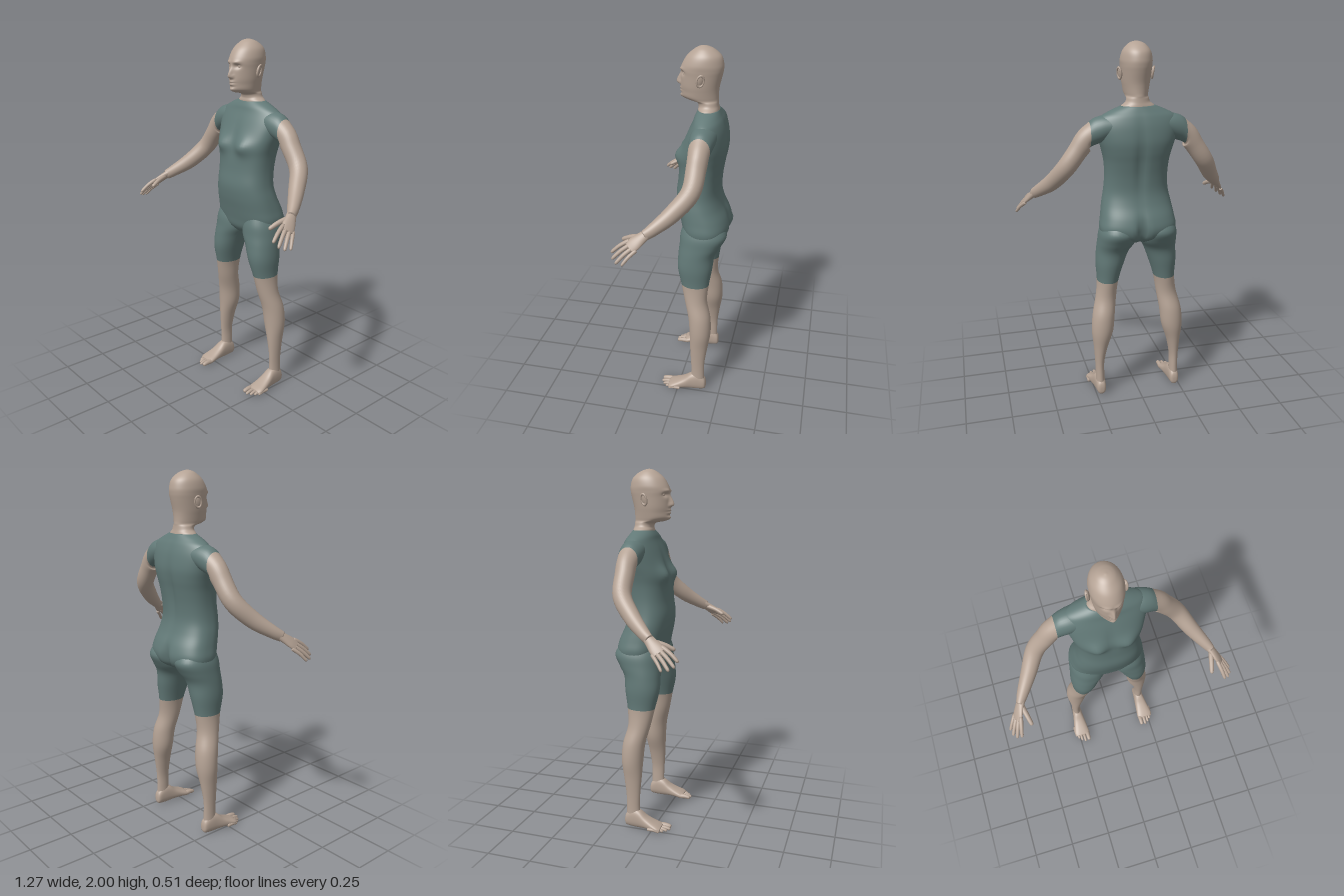
import * as THREE from 'three';

const V = (x, y, z) => new THREE.Vector3(x, y, z);
const bell = (...d) => Math.exp(-d.reduce((s, v) => s + v * v, 0));
const power = (c, e) => Math.sign(c) * Math.abs(c) ** e;

// Smoothly interpolate rows of numbers, `steps` rows per key
function smoothRows(keys, steps) {
  const rows = [], last = keys.length - 1;
  for (let i = 0; i <= last * steps; i++) {
    const k = Math.min(Math.floor(i / steps), last - 1), t = i / steps - k;
    const [a, b, c, d] = [k - 1, k, k + 1, k + 2].map(n => keys[Math.max(0, Math.min(last, n))]);
    rows.push(b.map((_, n) => b[n] + 0.5 * t * (c[n] - a[n] + t * (2 * a[n] - 5 * b[n] + 4 * c[n] - d[n]
      + t * (3 * (b[n] - c[n]) + d[n] - a[n])))));
  }
  return rows;
}

// Skin a list of rings; rows before `split` take material 0, the rest material 1
function skin(rings, split) {
  const n = rings[0].length, pts = rings.flat(), index = [];
  const center = r => r.reduce((s, p) => s.add(p), V(0, 0, 0)).divideScalar(n);
  const a = pts.push(center(rings[0])) - 1, b = pts.push(center(rings.at(-1))) - 1;
  for (let j = 0; j < n; j++) index.push(a, (j + 1) % n, j);
  for (let i = 0; i < rings.length - 1; i++) for (let j = 0; j < n; j++) {
    const p = i * n + j, q = i * n + (j + 1) % n;
    index.push(p, q, p + n, q, q + n, p + n);
  }
  const o = (rings.length - 1) * n;
  for (let j = 0; j < n; j++) index.push(b, o + j, o + (j + 1) % n);
  // Turn the faces outward
  let volume = 0;
  for (let i = 0; i < index.length; i += 3)
    volume += pts[index[i]].dot(pts[index[i + 1]].clone().cross(pts[index[i + 2]]));
  if (volume < 0) index.reverse();
  const g = new THREE.BufferGeometry().setFromPoints(pts);
  g.setIndex(index);
  g.computeVertexNormals();
  if (split) {
    const first = 3 * n + split * n * 6, total = index.length, flip = volume < 0;
    g.addGroup(0, flip ? total - first : first, flip ? 1 : 0);
    g.addGroup(flip ? total - first : first, flip ? first : total - first, flip ? 0 : 1);
  }
  return g;
}

// Level rings from keys [y, xMin, xMax, zFront, zBack, roundness, frontTaper]
function levelRings(keys, steps, n, deform = () => 0, s = 1) {
  return smoothRows(keys, steps).map(([y, xa, xb, zf, zb, e, taper]) => Array.from({ length: n }, (_, j) => {
    const t = j / n * Math.PI * 2, c = power(Math.cos(t), e), d = power(Math.sin(t), e);
    const narrow = d > 0 ? 1 - taper * d * d : 1;
    const p = V(s * ((xa + xb) / 2 + (xb - xa) / 2 * c * narrow), y, (zf + zb) / 2 + (zf - zb) / 2 * d);
    p.z += deform(p, d);
    return p;
  }));
}

// Rings along a path of keys [x, y, z, radiusAlongRef, radiusAcross]; the first `upright` keys face +x
function limbRings(keys, steps, n, s, ref = V(0, 1, 0), upright = 0) {
  const rows = smoothRows(keys, steps), at = i => V(...rows[Math.max(0, Math.min(rows.length - 1, i))]);
  return rows.map((r, i) => {
    const dir = at(i + 1).sub(at(i - 1)).normalize();
    if (upright) dir.lerp(V(1, 0, 0), 1 - THREE.MathUtils.smoothstep(i / steps, upright - 1, upright)).normalize();
    const across = dir.clone().cross(ref).normalize(), up = across.clone().cross(dir);
    return Array.from({ length: n }, (_, j) => {
      const t = j / n * Math.PI * 2;
      const p = at(i).addScaledVector(up, Math.sin(t) * r[3]).addScaledVector(across, Math.cos(t) * r[4]);
      p.x *= s;
      return p;
    });
  });
}

// Round-tipped finger or toe
function digit(base, tip, r, s, bend) {
  const at = (t, k) => {
    const p = base.clone().lerp(tip, t);
    return [p.x, p.y + bend * Math.sin(Math.PI * t), p.z, r * k, r * k];
  };
  return skin(limbRings([at(-0.15, 0.9), at(0.1, 1), at(0.5, 0.92), at(0.85, 0.8), at(0.96, 0.6), at(1, 0.15)], 3, 12, s));
}

export function createModel() {
  const model = new THREE.Group();
  const skinTone = new THREE.MeshStandardMaterial({ color: 0xb5a395 });
  const suit = new THREE.MeshStandardMaterial({ color: 0x627977 });
  skinTone.name = 'skin';
  suit.name = 'suit';
  const add = (name, geometry, material, parent = model) => {
    const m = new THREE.Mesh(geometry, material);
    m.name = name;
    parent.add(m);
    return m;
  };
  const wide = ([y, w, ...rest]) => [y, -w, w, ...rest];

  // Torso with chest, spine and seat shaping
  const torsoKeys = [
    [1.676, 0.092, -0.066, -0.176, 1, 0], [1.65, 0.155, -0.052, -0.19, 1, 0], [1.62, 0.205, -0.042, -0.205, 1, 0],
    [1.57, 0.222, -0.02, -0.22, 0.95, 0], [1.5, 0.207, 0.008, -0.228, 0.85, 0], [1.44, 0.19, 0.028, -0.222, 0.8, 0],
    [1.38, 0.177, 0.03, -0.21, 0.8, 0], [1.3, 0.172, 0.035, -0.198, 0.82, 0], [1.22, 0.178, 0.045, -0.196, 0.85, 0],
    [1.15, 0.192, 0.038, -0.212, 0.85, 0], [1.08, 0.204, 0.022, -0.242, 0.82, 0], [1.02, 0.212, 0.008, -0.254, 0.82, 0],
    [0.97, 0.19, -0.004, -0.235, 0.9, 0], [0.935, 0.09, -0.03, -0.18, 1, 0]].map(wide);
  add('torso', skin(levelRings(torsoKeys, 5, 80, (p, d) => {
    const x = Math.abs(p.x);
    if (d > 0) return d * (0.024 * bell((x - 0.085) / 0.045, (p.y - 1.44) / 0.045)
      - 0.008 * bell(x / 0.025, (p.y - 1.47) / 0.08));
    return -d * (0.014 * bell(x / 0.025, (p.y - 1.38) / 0.17) + 0.035 * bell(x / 0.022, (p.y - 1.0) / 0.075));
  })), suit);

  // Head and neck with a modelled face
  const headKeys = [
    [1.645, 0.1, -0.07, -0.178, 1, 0], [1.674, 0.09, -0.064, -0.176, 1, 0], [1.695, 0.066, -0.066, -0.172, 1, 0],
    [1.715, 0.06, -0.052, -0.17, 1, 0.1], [1.726, 0.06, 0.002, -0.17, 1, 0.4], [1.742, 0.064, 0.026, -0.169, 0.95, 0.35],
    [1.77, 0.069, 0.027, -0.17, 0.95, 0.25], [1.8, 0.074, 0.028, -0.174, 0.95, 0.15], [1.85, 0.079, 0.027, -0.186, 0.95, 0.08],
    [1.88, 0.082, 0.028, -0.192, 0.95, 0.05], [1.91, 0.083, 0.02, -0.193, 1, 0], [1.95, 0.073, -0.004, -0.181, 1, 0],
    [1.98, 0.05, -0.038, -0.148, 1, 0], [1.994, 0.028, -0.062, -0.118, 1, 0], [2, 0.004, -0.085, -0.093, 1, 0]].map(wide);
  add('head', skin(levelRings(headKeys, 7, 112, (p, d) => {
    if (d < 0.2) return 0;
    const x = Math.abs(p.x), y = p.y;
    const ridge = THREE.MathUtils.smoothstep(1.878 - y, 0, 0.065) * THREE.MathUtils.smoothstep(y, 1.792, 1.812);
    return d * (ridge * (0.025 * bell(x / 0.011) + 0.008 * bell((x - 0.013) / 0.007, (y - 1.808) / 0.01))
      - 0.014 * bell((x - 0.034) / 0.017, (y - 1.864) / 0.012) + 0.007 * bell((x - 0.03) / 0.022, (y - 1.885) / 0.009)
      + 0.009 * bell(x / 0.02, (y - 1.776) / 0.014) - 0.008 * bell(x / 0.022, (y - 1.776) / 0.0035)
      + 0.006 * bell(x / 0.018, (y - 1.74) / 0.012) - 0.005 * bell(x / 0.02, (y - 1.756) / 0.006));
  })), skinTone);

  for (const s of [1, -1]) {
    const side = s > 0 ? 'left' : 'right';

    // Eye and ear
    add(side + 'Eye', new THREE.SphereGeometry(0.0125, 20, 14), skinTone).position.set(s * 0.034, 1.864, -0.003);
    const ear = new THREE.Group();
    ear.name = side + 'Ear';
    ear.position.set(s * 0.086, 1.84, -0.088);
    ear.rotation.set(-0.15, s * 0.35, s * -0.12);
    add('earBowl', new THREE.SphereGeometry(1, 20, 14).scale(0.008, 0.031, 0.018), skinTone, ear);
    add('earRim', new THREE.TorusGeometry(0.018, 0.0045, 8, 28).rotateY(Math.PI / 2).scale(1.2, 1.6, 1), skinTone, ear)
      .position.x = s * 0.005;
    model.add(ear);

    // Leg, suit down to above the knee
    const legKeys = [
      [1.06, 0.03, 0.19, -0.012, -0.215, 0.9, 0], [1, 0.01, 0.214, 0.006, -0.25, 0.9, 0], [0.94, 0.012, 0.221, 0.01, -0.224, 0.9, 0],
      [0.88, 0.045, 0.226, 0.014, -0.19, 0.95, 0], [0.8, 0.075, 0.23, 0.014, -0.18, 0.95, 0], [0.7, 0.105, 0.225, -0.008, -0.165, 1, 0],
      [0.6, 0.12, 0.236, -0.03, -0.158, 1, 0], [0.5, 0.134, 0.26, -0.055, -0.182, 1, 0], [0.4, 0.146, 0.267, -0.065, -0.187, 1, 0],
      [0.3, 0.178, 0.257, -0.07, -0.172, 1, 0], [0.2, 0.198, 0.25, -0.077, -0.158, 1, 0], [0.12, 0.199, 0.248, -0.08, -0.156, 1, 0],
      [0.05, 0.196, 0.25, -0.075, -0.158, 1, 0]];
    add(side + 'Leg', skin(levelRings(legKeys, 5, 40, undefined, s), 25), [suit, skinTone]);

    // Foot from cross-sections [z, centre x, half width, bottom, top]
    const footRows = smoothRows([
      [-0.167, 0.222, 0.01, 0.022, 0.05], [-0.158, 0.222, 0.024, 0.006, 0.08], [-0.12, 0.223, 0.03, 0, 0.11],
      [-0.08, 0.224, 0.034, 0, 0.105], [-0.04, 0.226, 0.04, 0.003, 0.075], [0, 0.228, 0.046, 0.003, 0.053],
      [0.035, 0.229, 0.05, 0, 0.038], [0.055, 0.226, 0.044, 0.004, 0.028]], 4);
    add(side + 'Foot', skin(footRows.map(([z, x, w, lo, hi]) => Array.from({ length: 32 }, (_, j) => {
      const t = j / 32 * Math.PI * 2;
      return V(s * (x + w * power(Math.cos(t), 0.8)), (lo + hi) / 2 + (hi - lo) / 2 * power(Math.sin(t), 0.85), z);
    }))), skinTone);
    [[0.194, 0.1, 0.0145], [0.219, 0.103, 0.0105], [0.24, 0.09, 0.01], [0.257, 0.072, 0.01], [0.271, 0.052, 0.0095]]
      .forEach(([x, z, r]) => add(side + 'Toe', digit(V(x, 0.017, z - 0.06), V(x, r * 0.85, z), r, s, 0.004), skinTone));

    // Arm, sleeve ending at an upright hem
    const armKeys = [
      [0.13, 1.578, -0.125, 0.055, 0.07], [0.2, 1.56, -0.122, 0.069, 0.066], [0.26, 1.533, -0.12, 0.067, 0.056],
      [0.312, 1.463, -0.117, 0.053, 0.052], [0.385, 1.36, -0.103, 0.05, 0.049], [0.45, 1.268, -0.025, 0.045, 0.042],
      [0.51, 1.206, 0.055, 0.034, 0.031], [0.537, 1.18, 0.095, 0.028, 0.022]];
    add(side + 'Arm', skin(limbRings(armKeys, 6, 36, s, V(0, 1, 0), 3), 12), [suit, skinTone]);

    // Hand
    const palmKeys = [
      [0.522, 1.196, 0.073, 0.024, 0.022], [0.545, 1.17, 0.108, 0.03, 0.018],
      [0.565, 1.145, 0.14, 0.036, 0.014], [0.579, 1.127, 0.162, 0.032, 0.009]];
    add(side + 'Palm', skin(limbRings(palmKeys, 5, 24, s, V(0.035, -0.038, -0.046))), skinTone);
    const first = V(0.557, 1.15, 0.176), last = V(0.59, 1.113, 0.133);
    [V(0.578, 1.09, 0.255), V(0.605, 1.068, 0.245), V(0.624, 1.055, 0.222), V(0.632, 1.052, 0.188)].forEach((tip, i) =>
      add(side + 'Finger', digit(first.clone().lerp(last, i / 3), tip, i < 3 ? 0.0115 : 0.01, s, 0.006), skinTone));
    add(side + 'Thumb', digit(V(0.532, 1.172, 0.115), V(0.507, 1.132, 0.218), 0.014, s, 0.006), skinTone);
  }
  return model;
}
